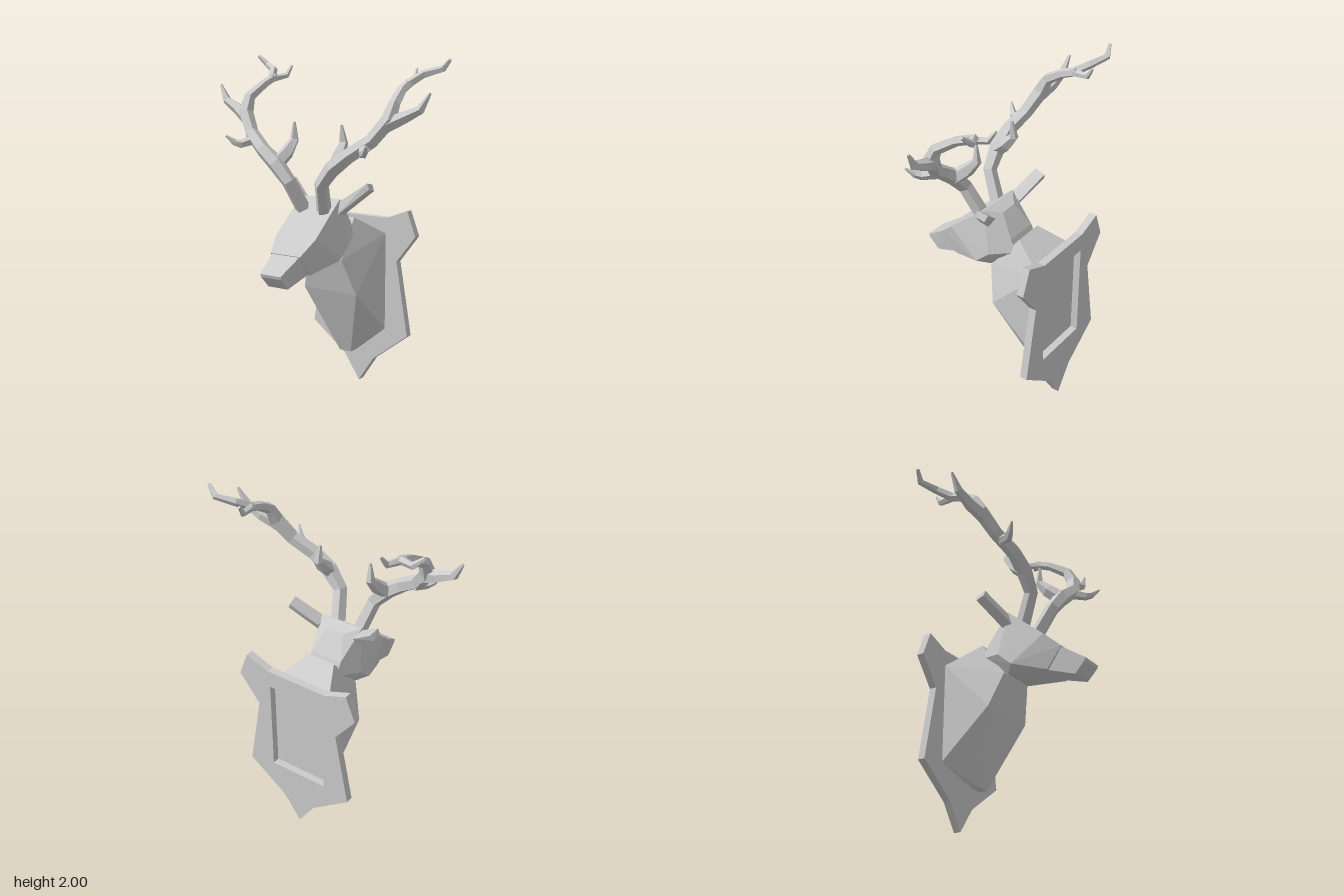
import * as THREE from 'three';
import { ConvexGeometry } from 'three/addons/geometries/ConvexGeometry.js';

const material = new THREE.MeshStandardMaterial({ color: 0xcccccc, flatShading: true });

function part(name, geometry) {
  const mesh = new THREE.Mesh(geometry, material);
  mesh.name = name;
  return mesh;
}

// Faceted solid around corner points; mirrored across x when asked
function solid(name, corners, mirrored) {
  const pts = [];
  for (const [x, y, z] of corners) {
    pts.push(new THREE.Vector3(x, y, z));
    if (mirrored) pts.push(new THREE.Vector3(-x, y, z));
  }
  return part(name, new ConvexGeometry(pts));
}

// Tapered low-poly limb along [x, y, z, radius] stations
function limb(name, stations, side, sides = 5) {
  const p = stations.map(([x, y, z]) => new THREE.Vector3(x * side, y, z));
  const pos = [], index = [];
  let prev = null;
  const normal = new THREE.Vector3();
  p.forEach((c, i) => {
    const dir = new THREE.Vector3();
    if (i > 0) dir.add(c.clone().sub(p[i - 1]).normalize());
    if (i < p.length - 1) dir.add(p[i + 1].clone().sub(c).normalize());
    dir.normalize();
    if (!prev) normal.set(0, 0, 1).addScaledVector(dir, -dir.z).normalize();
    else normal.applyQuaternion(new THREE.Quaternion().setFromUnitVectors(prev, dir));
    prev = dir;
    const across = dir.clone().cross(normal);
    for (let k = 0; k < sides; k++) {
      const a = side * (k / sides) * Math.PI * 2;
      const v = c.clone()
        .addScaledVector(normal, Math.cos(a) * stations[i][3])
        .addScaledVector(across, Math.sin(a) * stations[i][3]);
      pos.push(v.x, v.y, v.z);
    }
  });
  const tri = (a, b, c) => (side > 0 ? index.push(a, b, c) : index.push(a, c, b));
  const last = (p.length - 1) * sides;
  for (let i = 0; i < p.length - 1; i++) {
    for (let k = 0; k < sides; k++) {
      const a = i * sides + k, b = i * sides + (k + 1) % sides;
      tri(a, b, b + sides);
      tri(a, b + sides, a + sides);
    }
  }
  for (let k = 1; k < sides - 1; k++) {
    tri(0, k + 1, k);
    tri(last, last + k, last + k + 1);
  }
  const g = new THREE.BufferGeometry();
  g.setAttribute('position', new THREE.Float32BufferAttribute(pos, 3));
  g.setIndex(index);
  const flat = g.toNonIndexed();
  flat.computeVertexNormals();
  return part(name, flat);
}

function createPlaque() {
  const half = [[0.105, 0.155], [0.345, 0.335], [0.265, 0.785], [0.393, 0.95], [0.335, 1.1], [0.19, 1.045]];
  const outline = [[0, 0], ...half, ...half.map(([x, y]) => [-x, y]).reverse()];
  const shape = new THREE.Shape(outline.map(([x, y]) => new THREE.Vector2(x, y)));
  // Rectangular opening behind the neck
  const hole = [[-0.18, 0.37], [-0.18, 0.94], [0.18, 0.94], [0.18, 0.37]];
  shape.holes.push(new THREE.Path(hole.map(([x, y]) => new THREE.Vector2(x, y))));
  const g = new THREE.ExtrudeGeometry(shape, { depth: 0.045, bevelEnabled: false });
  g.translate(0, 0, -0.46);
  return part('plaque', g);
}

function createAntler(side) {
  const antler = new THREE.Group();
  antler.name = side > 0 ? 'leftAntler' : 'rightAntler';
  const tines = {
    beam: [[0.075, 1.14, 0.06, 0.045], [0.115, 1.3, 0.14, 0.043], [0.2, 1.4, 0.15, 0.05], [0.3, 1.475, 0.145, 0.044],
      [0.42, 1.56, 0.1, 0.042], [0.5, 1.67, 0.055, 0.046], [0.505, 1.76, 0.01, 0.034],
      [0.485, 1.83, -0.1, 0.028], [0.48, 1.87, -0.2, 0.026]],
    outerTine: [[0.48, 1.64, 0.065, 0.042], [0.58, 1.69, 0.03, 0.036], [0.675, 1.735, 0.02, 0.026], [0.728, 1.825, 0.01, 0.008]],
    browTine: [[0.2, 1.4, 0.14, 0.045], [0.18, 1.46, 0.07, 0.042], [0.172, 1.53, 0.01, 0.027], [0.165, 1.63, 0.02, 0.008]],
    frontTine: [[0.39, 1.52, 0.12, 0.032], [0.425, 1.5, 0.19, 0.026], [0.45, 1.51, 0.215, 0.02], [0.485, 1.55, 0.252, 0.006]],
    upperTine: [[0.483, 1.86, -0.17, 0.026], [0.53, 1.91, -0.25, 0.024], [0.62, 1.94, -0.305, 0.02], [0.675, 1.99, -0.285, 0.01]],
    innerTine: [[0.48, 1.86, -0.18, 0.024], [0.455, 1.875, -0.28, 0.018], [0.443, 1.935, -0.32, 0.008]],
  };
  for (const [name, stations] of Object.entries(tines)) antler.add(limb(name, stations, side));
  return antler;
}

export function createModel() {
  const model = new THREE.Group();
  model.name = 'mountedStagHead';
  model.add(createPlaque());

  // Neck and chest
  model.add(solid('neck', [
    [0.187, 0.95, -0.417], [0.187, 0.36, -0.417], [0.187, 0.63, -0.105],
    [0.09, 1.065, -0.22], [0.12, 0.84, -0.045],
    [0.04, 0.225, -0.265], [0.04, 0.225, -0.315],
  ], true));

  // Skull with brow, cheeks and jaw
  model.add(solid('head', [
    [0.135, 1.205, -0.01], [0.055, 1.175, -0.08], [0.138, 1.005, 0.23], [0.103, 0.92, 0.325],
    [0.1, 1.05, -0.17], [0.1, 0.975, -0.205], [0.165, 0.94, -0.06], [0.165, 0.86, 0.03],
    [0.1, 0.83, -0.03], [0.1, 0.8, 0.23],
  ], true));

  model.add(solid('muzzle', [
    [0.095, 0.93, 0.3], [0.095, 0.915, 0.325], [0.07, 0.828, 0.458], [0.07, 0.81, 0.452],
    [0.068, 0.765, 0.41], [0.068, 0.745, 0.39], [0.085, 0.8, 0.23],
  ], true));

  for (const side of [1, -1]) {
    const ear = [
      [0.12, 1.1, 0.03], [0.12, 1.09, -0.03], [0.12, 1.18, 0], [0.12, 1.165, -0.075],
      [0.28, 1.3, -0.07], [0.272, 1.285, -0.138], [0.293, 1.265, -0.07], [0.29, 1.25, -0.125],
    ].map(([x, y, z]) => [x * side, y, z]);
    model.add(solid(side > 0 ? 'leftEar' : 'rightEar', ear, false));
    model.add(createAntler(side));
  }
  return model;
}
